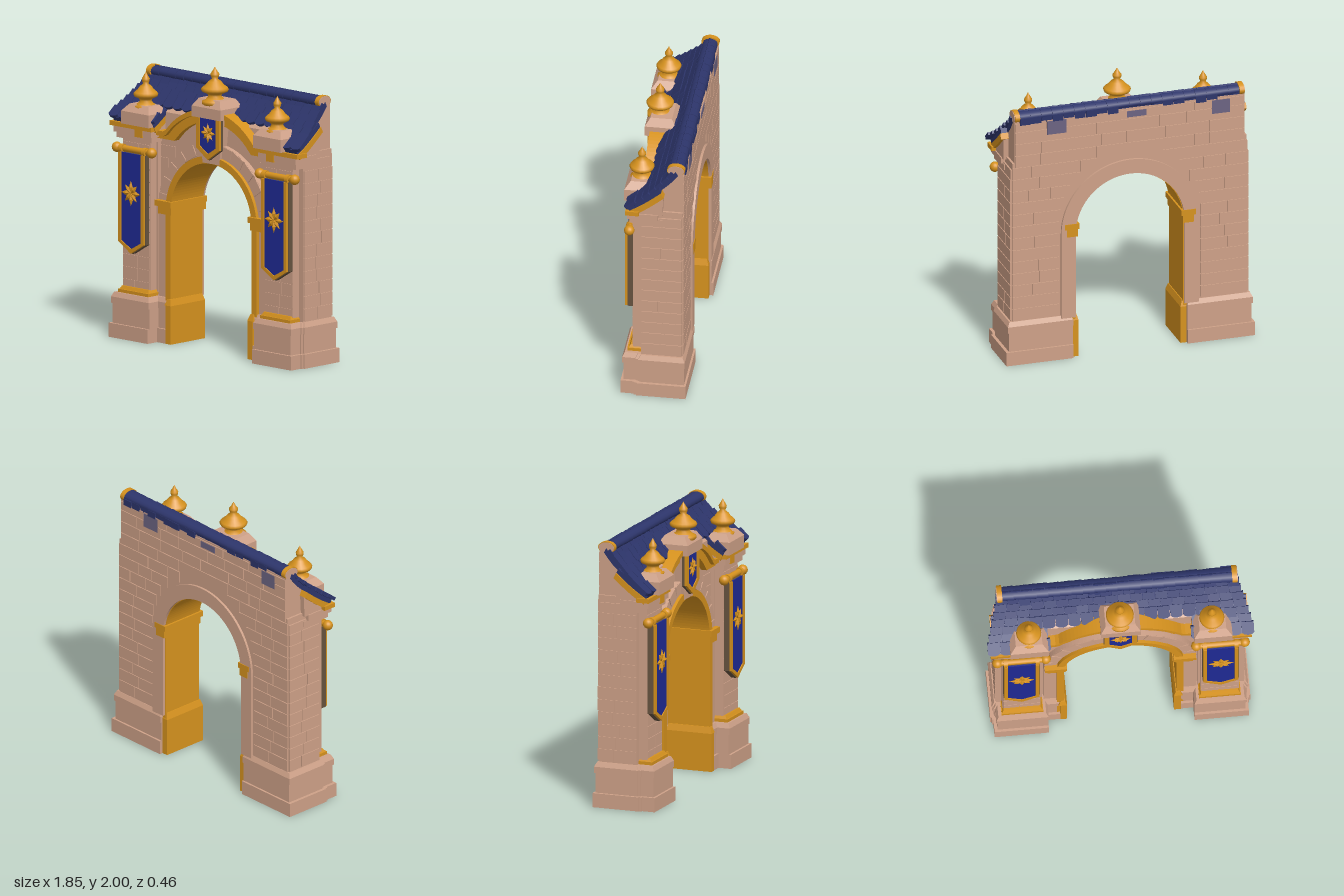
import * as THREE from 'three';
import { mergeGeometries } from 'three/addons/utils/BufferGeometryUtils.js';

export function createModel() {
  const root = new THREE.Group();
  root.name = 'archGateway';
  const mat = (name, color) => {
    const m = new THREE.MeshStandardMaterial({ color });
    m.name = name;
    return m;
  };
  const stone = mat('stone', 0xcea188), gold = mat('gold', 0xd6921e);
  const roofBlue = mat('roofBlue', 0x2d356b), cloth = mat('bannerBlue', 0x1f2a94);
  const slate = mat('slateViolet', 0x6c6482), backing = mat('darkBacking', 0x66533f);

  let seed = 7;
  const rnd = () => (seed = (seed * 16807) % 2147483647) / 2147483647;
  const add = (name, geo, m, parent = root) => {
    const mesh = new THREE.Mesh(geo, m);
    mesh.name = name;
    parent.add(mesh);
    return mesh;
  };
  // Box by its limits; s mirrors it across x
  const boxGeo = (x0, x1, y0, y1, z0, z1, s = 1) =>
    new THREE.BoxGeometry(x1 - x0, y1 - y0, z1 - z0)
      .translate(s * (x0 + x1) / 2, (y0 + y1) / 2, (z0 + z1) / 2);
  const box = (name, m, ...lim) => add(name, boxGeo(...lim), m);
  // Box whose top is drawn in by an inset
  const taper = (name, m, x0, x1, y0, y1, z0, z1, s, inset) => {
    const g = new THREE.BoxGeometry(x1 - x0, y1 - y0, z1 - z0), p = g.attributes.position;
    for (let i = 0; i < p.count; i++) if (p.getY(i) > 0) {
      p.setX(i, p.getX(i) - Math.sign(p.getX(i)) * inset);
      p.setZ(i, p.getZ(i) - Math.sign(p.getZ(i)) * inset);
    }
    g.computeVertexNormals();
    return add(name, g.translate(s * (x0 + x1) / 2, (y0 + y1) / 2, (z0 + z1) / 2), m);
  };
  const poly = pts => new THREE.Shape(pts.map(p => new THREE.Vector2(p[0], p[1])));
  const slab = (shape, z0, z1) =>
    new THREE.ExtrudeGeometry(shape, { depth: z1 - z0, bevelEnabled: false, curveSegments: 28 }).translate(0, 0, z0);

  // Arched band between two radii, with legs down to yLow
  const CY = 0.93;
  const archBand = (rIn, rOut, yLow) => {
    const s = new THREE.Shape();
    s.moveTo(rOut, yLow);
    s.lineTo(rOut, CY);
    s.absarc(0, CY, rOut, 0, Math.PI, false);
    s.lineTo(-rOut, yLow);
    s.lineTo(-rIn, yLow);
    s.lineTo(-rIn, CY);
    s.absarc(0, CY, rIn, Math.PI, 0, true);
    s.lineTo(rIn, yLow);
    return s;
  };

  // Main wall with the archway
  const wall = new THREE.Shape();
  wall.moveTo(0.85, 0);
  wall.lineTo(0.85, 1.5);
  wall.lineTo(-0.85, 1.5);
  wall.lineTo(-0.85, 0);
  wall.lineTo(-0.42, 0);
  wall.lineTo(-0.42, CY);
  wall.absarc(0, CY, 0.42, Math.PI, 0, true);
  wall.lineTo(0.42, 0);
  add('wall', slab(wall, -0.2, 0.06), stone);
  add('archLining', slab(archBand(0.39, 0.44, 0), -0.197, 0.12), gold);
  add('frontArchRing', slab(archBand(0.44, 0.53, 0), 0.05, 0.095), stone);
  add('backArchRing', slab(archBand(0.395, 0.5, 0.3), -0.217, -0.19), stone);
  // Joints of the arch stones
  for (let i = 0; i < 13; i++) {
    const a = (i + 0.5) / 13 * Math.PI, g = new THREE.BoxGeometry(0.082, 0.108, 0.012);
    g.rotateZ(a).translate(Math.cos(a) * 0.487, CY + Math.sin(a) * 0.487, 0.096);
    add('archStone', g, stone);
  }

  // Roof slope: height, depth and half width from ridge (0) to eave (1)
  const curve = new THREE.CatmullRomCurve3([[1.83, -0.15], [1.75, -0.085], [1.665, 0.01], [1.595, 0.1], [1.54, 0.185]]
    .map(([y, z]) => new THREE.Vector3(0, y, z)));
  const halfWidth = y => 0.825 + 0.1 * Math.pow(Math.max(0, (1.85 - y) / 0.31), 1.5);
  const archTop = x => Math.max(1.49, 1.145 + Math.sqrt(Math.max(0, 0.308 - x * x)));
  const archLow = x => Math.max(1.43, 1.145 + Math.sqrt(Math.max(0, 0.216 - x * x)));
  // Side profile pulled along x; profile points are [z, y]
  const alongX = (pts, x0, x1) => slab(poly(pts.map(([z, y]) => [-z, y])), x0, x1).rotateY(Math.PI / 2);
  const slope = curve.getPoints(16);
  // Layer that follows the slope, between two distances beneath it
  const layer = (pts, d0, d1, x0, x1) => alongX([...pts.map(p => [p.z - d1 * 0.5, p.y - d1]),
    ...pts.slice().reverse().map(p => [p.z - d0 * 0.5, p.y - d0])], x0, x1);
  add('gable', alongX([[-0.2, 1.48], [0.06, 1.48],
    ...slope.filter(p => p.z < 0.06).reverse().map(p => [p.z, p.y - 0.02]), [-0.2, 1.81]], -0.835, 0.835), stone);
  add('roofDeck', layer(slope.filter(p => p.z < 0.02), -0.002, 0.03, -0.84, 0.84), roofBlue);

  // Roof tiles
  const tiles = [], rows = 8;
  for (let r = 1; r <= rows; r++) {
    const p = curve.getPointAt(r / rows), up = curve.getTangentAt(r / rows).negate();
    const hw = halfWidth(p.y), n = r % 2 ? 20 : 21, w = 2 * hw / n, L = 0.095;
    const basis = new THREE.Matrix4().makeBasis(new THREE.Vector3(1, 0, 0), up,
      new THREE.Vector3(0, -up.z, up.y));
    for (let i = 0; i < n; i++) {
      const x = -hw + (i + 0.5) * w, a = w / 2 - 0.002;
      if (Math.abs(x) < 0.52 && p.z > 0.08) continue;
      const tile = poly([[-a, L], [-a, 0.014], [-a * 0.65, 0.002], [0, -0.004], [a * 0.65, 0.002], [a, 0.014], [a, L]]);
      const g = slab(tile, 0, 0.02 + rnd() * 0.004).rotateX(0.1 + rnd() * 0.06).rotateZ((rnd() - 0.5) * 0.04);
      tiles.push(g.applyMatrix4(basis).translate(x, p.y - 0.004, p.z));
    }
  }
  add('roofTiles', mergeGeometries(tiles), roofBlue);

  // Ridge tiles
  const ridge = [];
  for (let i = 0; i < 20; i++) {
    const k = 1 + (rnd() - 0.5) * 0.1;
    ridge.push(new THREE.CylinderGeometry(0.036 * k, 0.039 * k, 0.083, 14).rotateZ(Math.PI / 2)
      .scale(1, 1, 1.45).translate(-0.8 + (i + 0.5) * 0.08, 1.832, -0.15));
    ridge.push(boxGeo(-0.8 + i * 0.08 + 0.002, -0.8 + (i + 1) * 0.08 - 0.002, 1.785, 1.832, -0.205 * k, -0.15));
  }
  add('ridgeTiles', mergeGeometries(ridge.map(g => g.toNonIndexed())), roofBlue);

  // Thin slate patches high on the back
  for (const [x, w, y] of [[0.53, 0.07, 1.69], [-0.05, 0.07, 1.745], [-0.66, 0.065, 1.69]])
    box('backPatch', slate, x - w, x + w, y, 1.79, -0.209, -0.2);

  // Arched cornice with its filled field
  const xs = Array.from({ length: 41 }, (_, i) => -0.53 + i * 0.0265);
  const band = (lo, hi) => poly([...xs.map(x => [x, lo(x)]), ...xs.slice().reverse().map(x => [x, hi(x)])]);
  add('archField', slab(band(() => 1.4, x => archTop(x) - 0.02), -0.08, 0.06), stone);
  add('cornice', slab(band(archLow, x => archTop(x) - 0.01), -0.08, 0.105), gold);
  add('corniceRim', slab(band(x => archTop(x) - 0.035, archTop), -0.08, 0.135), gold);

  // Eight-pointed raised star
  const star = (x, y, z, r) => {
    const g = new THREE.Group();
    g.name = 'star';
    for (let i = 0; i < 8; i++) {
      const ray = new THREE.OctahedronGeometry(1).scale(r * 0.22, r * 0.5, 0.012)
        .translate(0, r * (i % 2 ? 0.4 : 0.5), 0).rotateZ(i * Math.PI / 4);
      add('starRay', ray, gold, g);
    }
    g.position.set(x, y, z);
    root.add(g);
  };
  // Pointed hanging: dark backing, gold rim on the sides and tip, blue field
  const pennant = (name, x, hw, top, side, tip, rim, z0, z1) => {
    const outline = d => [[x - hw + d, top], [x - hw + d, side + d * 0.4], [x, tip + d * 1.2],
      [x + hw - d, side + d * 0.4], [x + hw - d, top]];
    const zm = z1 - 0.016;
    add(name + 'Backing', slab(poly(outline(-0.004)), z0, zm), backing);
    add(name + 'Frame', slab(poly([...outline(0), ...outline(rim).reverse()]), zm, z1), gold);
    add(name + 'Field', slab(poly(outline(rim * 0.8)), zm, z1 - 0.007), cloth);
  };

  // Keystone
  add('keystone', slab(poly([[-0.08, 1.32], [0.08, 1.32], [0.12, 1.66], [-0.12, 1.66]]), 0, 0.122), stone);
  pennant('keystoneShield', 0, 0.113, 1.65, 1.43, 1.352, 0.034, 0.12, 0.155);
  star(0, 1.54, 0.152, 0.07);
  box('keystoneCap', stone, -0.138, 0.138, 1.645, 1.72, -0.05, 0.17);
  taper('keystoneCapTop', stone, -0.138, 0.138, 1.72, 1.775, -0.05, 0.17, 1, 0.035);

  // Turned finials
  const profile = [[0, 0], [0.07, 0], [0.09, 0.015], [0.09, 0.036], [0.06, 0.052], [0.045, 0.07], [0.052, 0.085],
    [0.09, 0.102], [0.097, 0.118], [0.088, 0.13], [0.062, 0.15], [0.045, 0.172], [0.02, 0.19],
    [0.03, 0.21], [0.031, 0.225], [0.017, 0.245], [0, 0.275]].map(([x, y]) => new THREE.Vector2(x, y));
  const finial = (x, y, z, k) =>
    add('finial', new THREE.LatheGeometry(profile, 20).scale(k, 1, k).translate(x, y, z), gold);
  finial(0, 1.725, 0.082, 1);

  for (const s of [-1, 1]) {
    // Piers
    box('pierCorner', stone, 0.54, 0.86, 0, 1.45, -0.19, 0.09, s);
    box('pillar', stone, 0.555, 0.82, 0.3, 1.45, 0, 0.15, s);
    // Stepped bases
    for (const [x0, x1, z0, z1] of [[0.415, 0.87, -0.213, 0.12], [0.505, 0.86, -0.1, 0.213], [0.6, 0.88, -0.213, 0.1]]) {
      box('plinth', stone, x0, x1 + 0.022, 0, 0.1, z0 - 0.014, z1 + 0.017, s);
      box('base', stone, x0, x1, 0.1, 0.24, z0, z1, s);
      box('baseBlock', stone, x0, x1 + 0.009, 0.24, 0.285, z0 - 0.006, z1 + 0.007, s);
      taper('baseTop', stone, x0, x1 + 0.009, 0.285, 0.318, z0 - 0.006, z1 + 0.007, s, 0.016);
    }
    box('baseBand', gold, 0.54, 0.83, 0.31, 0.34, 0, 0.19, s);
    taper('baseBandTop', gold, 0.545, 0.825, 0.34, 0.362, 0, 0.18, s, 0.012);
    box('jambBase', gold, 0.37, 0.418, 0, 0.27, -0.2, 0.14, s);
    taper('jambBaseTop', gold, 0.37, 0.43, 0.27, 0.315, -0.2, 0.14, s, 0.014);
    // Imposts of the arch
    box('impost', gold, 0.382, 0.505, 0.905, 0.96, -0.1, 0.125, s);
    box('impostTop', gold, 0.37, 0.525, 0.96, 1.0, -0.1, 0.14, s);
    box('impostBack', gold, 0.382, 0.46, 0.905, 0.96, -0.219, -0.1, s);
    box('impostBackTop', gold, 0.37, 0.475, 0.96, 1.0, -0.221, -0.1, s);
    // Capitals, eaves and pillar caps
    box('capitalLower', stone, 0.53, 0.865, 1.4, 1.44, -0.06, 0.168, s);
    box('capitalUpper', stone, 0.515, 0.88, 1.44, 1.485, -0.03, 0.185, s);
    box('capitalPlaque', gold, 0.6, 0.67, 1.43, 1.485, 0.18, 0.19, s);
    box('eavesBand', gold, 0.505, 0.905, 1.483, 1.515, 0.1, 0.195, s);
    const under = slope.filter(p => p.z > -0.04);
    const span = (a, b) => s > 0 ? [a, b] : [-b, -a];
    add('eavesDeck', layer(under, -0.002, 0.03, ...span(0.5, 0.885)), roofBlue);
    add('eavesSlope', layer(under, 0.03, 0.068, ...span(0.5, 0.892)), gold);
    add('eavesFill', alongX([[-0.06, 1.48], [0.15, 1.48], ...under.filter(p => p.z < 0.16).reverse()
      .map(p => [p.z - 0.03, p.y - 0.06])], ...span(0.5, 0.872)), stone);
    box('pillarCap', stone, 0.505, 0.77, 1.515, 1.605, 0.03, 0.22, s);
    taper('pillarCapTop', stone, 0.505, 0.77, 1.605, 1.655, 0.03, 0.22, s, 0.04);
    finial(s * 0.635, 1.61, 0.115, 0.9);
    // Ridge ends
    add('ridgeEnd', new THREE.CylinderGeometry(0.042, 0.042, 0.035, 20).rotateZ(Math.PI / 2).scale(1, 1, 1.5)
      .translate(s * 0.815, 1.835, -0.15), gold);
    add('ridgeEndFace', new THREE.CylinderGeometry(0.038, 0.038, 0.006, 20).rotateZ(Math.PI / 2).scale(1, 1, 1.5)
      .translate(s * 0.834, 1.835, -0.15), stone);
    // Banners on rods
    const bx = s * 0.69;
    pennant('banner', bx, 0.122, 1.31, 0.68, 0.607, 0.026, 0.152, 0.208);
    star(bx, 1.03, 0.206, 0.09);
    add('bannerRod', new THREE.CylinderGeometry(0.022, 0.022, 0.34, 14).rotateZ(Math.PI / 2).translate(bx, 1.332, 0.172), gold);
    for (const e of [-1, 1]) {
      add('rodBall', new THREE.SphereGeometry(0.036, 16, 12).translate(bx + e * 0.168, 1.332, 0.172), gold);
      add('rodCollar', new THREE.CylinderGeometry(0.033, 0.033, 0.028, 14).rotateZ(Math.PI / 2)
        .translate(bx + e * 0.11, 1.328, 0.172), gold);
    }
  }

  // Masonry courses standing slightly proud of the faces
  const blocks = [], G = 0.003, H = 0.088;
  const course = (a, b, width, put) => {
    const n = Math.max(1, Math.round((b - a) / width));
    const cuts = Array.from({ length: n + 1 }, (_, i) => a + (b - a) * (i + (i && i < n ? (rnd() - 0.5) * 0.5 : 0)) / n);
    for (let i = 0; i < n; i++) put(cuts[i] + G, cuts[i + 1] - G);
  };
  const clear = (y, r) => y < CY ? r : Math.sqrt(Math.max(0, r * r - (y - CY) ** 2));
  for (let y = 0.325; y < 1.76; y += H) {
    const y0 = y + G, y1 = Math.min(y + H, 1.8) - G, lim = clear(y, 0.51);
    const back = (a, b) => blocks.push(boxGeo(a, b, y0, y1, -0.205 - rnd() * 0.002, -0.195));
    const end = y > 1.45 ? 0.835 : 0.855;
    if (lim < 0.05) course(-end, end, 0.2, back);
    else for (const s of [-1, 1]) course(Math.min(s * lim, s * end), Math.max(s * lim, s * end), 0.17, back);
    if (y > 1.36) continue;
    for (const s of [-1, 1]) {
      course(-0.195, 0.088, 0.14, (a, b) => blocks.push(boxGeo(0.85, 0.866, y0, y1, a, b, s)));
      course(0.557, 0.818, 0.14, (a, b) => blocks.push(boxGeo(a, b, y0, y1, 0.14, 0.155, s)));
      const l = clear(y, 0.54);
      if (y > CY && l < 0.5) course(l, 0.54, 0.12, (a, b) => blocks.push(boxGeo(a, b, y0, y1, 0.05, 0.066, s)));
    }
  }
  add('masonry', mergeGeometries(blocks), stone);
  return root;
}
